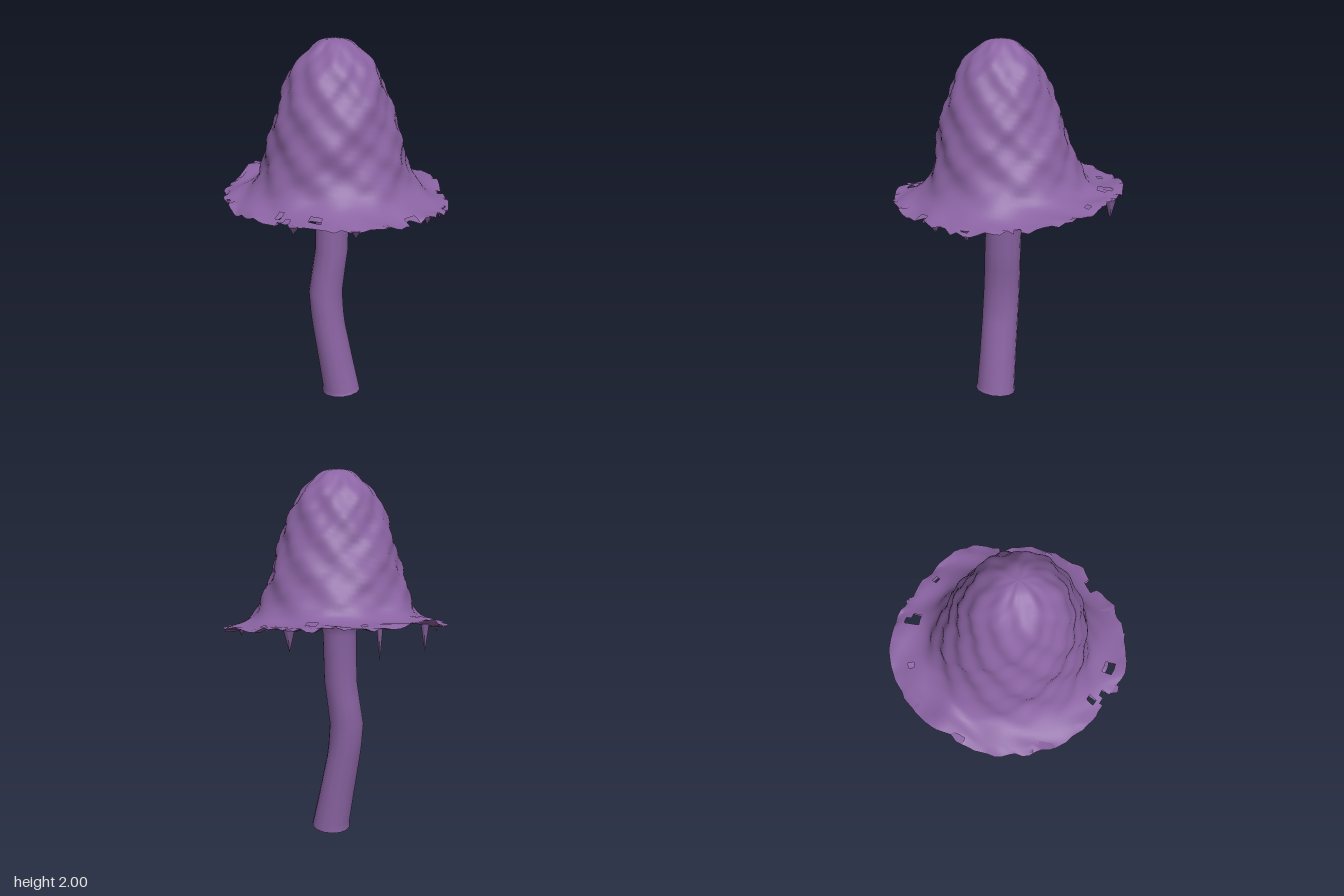
import * as THREE from 'three';

const purple = new THREE.MeshStandardMaterial({ color: 0x8a63a2, side: THREE.DoubleSide });
purple.name = 'purple';
const black = new THREE.MeshStandardMaterial({ color: 0x020202, side: THREE.DoubleSide });
black.name = 'black';

const TAU = Math.PI * 2;
const SEG = 108;

// Rim radius every 15 degrees and rim height every 45, going from +x towards +z
const RIM_R = [0.6, 0.61, 0.6, 0.58, 0.6, 0.6, 0.61, 0.58, 0.58, 0.59, 0.59, 0.59,
  0.6, 0.58, 0.61, 0.61, 0.63, 0.63, 0.62, 0.59, 0.6, 0.62, 0.61, 0.58];
const RIM_Y = [1.145, 1.145, 1.17, 1.16, 1.185, 1.225, 1.225, 1.19];
// Torn holes: x, z, radius
const HOLES = [[0.02, -0.52, 0.035], [0.29, -0.45, 0.022], [-0.22, -0.49, 0.014],
  [-0.22, 0.46, 0.02], [-0.18, 0.53, 0.03], [-0.04, 0.53, 0.03], [-0.56, -0.17, 0.025],
  [0.42, 0.36, 0.025], [0.46, 0.37, 0.025], [0.56, -0.15, 0.02]];

const hash = n => { const s = Math.sin(n * 127.1 + 11.7) * 43758.5453; return s - Math.floor(s); };

// Smooth lookup in a closed list of values
function around(list, a) {
  const t = (a / TAU) * list.length, i = Math.floor(t), f = t - i, n = list.length;
  const s = f * f * (3 - 2 * f);
  return list[i % n] * (1 - s) + list[(i + 1) % n] * s;
}

// Surface of closed rings; at(i, j) gives the point of ring i at step j
function ringSurface(name, rows, cols, at, material, skip = () => false) {
  const pos = [], index = [];
  for (let i = 0; i < rows; i++)
    for (let j = 0; j < cols; j++) pos.push(...at(i, j));
  for (let i = 0; i < rows - 1; i++)
    for (let j = 0; j < cols; j++) {
      const k = (j + 1) % cols;
      const a = i * cols + j, b = i * cols + k, c = a + cols, d = b + cols;
      const x = (pos[a * 3] + pos[d * 3]) / 2, z = (pos[a * 3 + 2] + pos[d * 3 + 2]) / 2;
      if (!skip(x, z)) index.push(a, b, c, b, d, c);
    }
  const g = new THREE.BufferGeometry();
  g.setAttribute('position', new THREE.Float32BufferAttribute(pos, 3));
  g.setIndex(index);
  g.computeVertexNormals();
  const mesh = new THREE.Mesh(g, material);
  mesh.name = name;
  return mesh;
}

const inHole = (x, z) => HOLES.some(h => Math.hypot(x - h[0], z - h[1]) < h[2]);

// Bell profile: radius, height
const profile = new THREE.SplineCurve([[0, 2], [0.07, 1.99], [0.13, 1.945], [0.21, 1.86], [0.28, 1.7],
  [0.343, 1.5], [0.385, 1.35], [0.43, 1.255], [0.5, 1.2], [0.6, 1.17]].map(p => new THREE.Vector2(...p)));
const ROWS = 44;
const rings = profile.getSpacedPoints(ROWS - 1);

// Point on the lumpy outer skin of the cap
function capPoint(i, j) {
  const a = (j / SEG) * TAU, p = rings[i];
  const brim = THREE.MathUtils.smoothstep(p.x, 0.38, 0.6);
  const lump = Math.min(1, p.x / 0.25) * (1 - brim);
  const bump = 0.007 * Math.sin(5 * a + p.y * 17) + 0.006 * Math.sin(9 * a - p.y * 29)
    + 0.004 * Math.sin(13 * a + p.y * 47);
  const edge = i === ROWS - 1 ? 1 : 0;
  const tear = edge * (hash(Math.floor(j / 2)) - 0.5) * 0.022;
  const r = p.x * (1 + (around(RIM_R, a) / 0.6 - 1) * brim) + bump * lump + tear;
  const curl = 0.04 * Math.exp(-(((a - 3.62) / 0.16) ** 2));
  const y = p.y + (around(RIM_Y, a) - 1.17 + curl) * brim
    + 0.007 * Math.sin(11 * a + p.x * 25) * brim + edge * (hash(j + 300) - 0.6) * 0.025
    + 0.004 * Math.sin(7 * a + p.y * 31) * lump;
  const shift = 0.035 * THREE.MathUtils.smoothstep(p.y, 1.2, 1.7);
  return [r * Math.cos(a), y, r * Math.sin(a) + shift];
}

// Underside: starts at the rim and runs in to the stalk
function undersidePoint(i, j) {
  const t = i / 11;
  const p = capPoint(ROWS - 1, j);
  const k = 1 - t * 0.84;
  const y = THREE.MathUtils.lerp(p[1], 1.225, THREE.MathUtils.smoothstep(t, 0, 0.5));
  return [p[0] * k, y - 0.012 * Math.sin(Math.PI * Math.min(1, t * 2)), p[2] * k];
}

// Stalk sections: height, centre x, centre z, radius x, radius z
const SECTIONS = [[1.235, -0.015, 0.012, 0.16, 0.16], [1.2, -0.015, 0.013, 0.105, 0.112],
  [1.12, -0.016, 0.015, 0.092, 0.1], [0.86, -0.02, 0.028, 0.091, 0.1], [0.74, -0.036, 0.033, 0.092, 0.101],
  [0.62, -0.052, 0.039, 0.094, 0.102], [0.5, -0.043, 0.044, 0.093, 0.103], [0.43, -0.034, 0.046, 0.093, 0.103],
  [0.22, 0.005, 0.053, 0.098, 0.105], [0.05, 0.037, 0.059, 0.104, 0.108], [0.018, 0.04, 0.062, 0.107, 0.113]];
const SIDES = 14;
function stalkPoint(i, j) {
  const [y, x, z, rx, rz] = SECTIONS[i], a = (j / SIDES) * TAU;
  const cut = i === SECTIONS.length - 1 ? 0.008 * Math.cos(a) + 0.011 * Math.sin(a) : 0;
  return [x + rx * Math.cos(a), y + cut, z + rz * Math.sin(a)];
}

export function createModel() {
  const model = new THREE.Group();
  model.name = 'mushroom';

  const cap = new THREE.Group();
  cap.name = 'cap';
  cap.add(ringSurface('capSkin', ROWS, SEG, capPoint, purple, inHole));
  cap.add(ringSurface('capUnderside', 12, SEG, undersidePoint, purple, inHole));

  // Ragged drips below the rim: x, z, top, bottom, radius
  const drips = [[-0.5, -0.28, 1.22, 1.075, 0.022], [-0.3, -0.5, 1.22, 1.055, 0.016],
    [0.13, -0.56, 1.21, 1.1, 0.03], [0.56, 0.1, 1.15, 1.085, 0.03], [0.17, 0.56, 1.16, 1.115, 0.03],
    [-0.13, 0.57, 1.17, 1.125, 0.03], [0.5, 0.27, 1.15, 1.1, 0.025], [-0.53, 0.2, 1.18, 1.12, 0.025]];
  for (const [x, z, top, bottom, r] of drips) {
    const drip = new THREE.Mesh(new THREE.ConeGeometry(r, top - bottom, 5), purple);
    drip.name = 'drip';
    drip.rotation.x = Math.PI;
    drip.position.set(x, (top + bottom) / 2, z);
    cap.add(drip);
  }
  model.add(cap);

  // Bent stalk with a dark cut end
  const last = SECTIONS.length - 1;
  model.add(ringSurface('stalk', SECTIONS.length, SIDES, stalkPoint, purple));
  model.add(ringSurface('stalkCutEnd', 2, SIDES,
    (i, j) => (i === 0 ? stalkPoint(last, j) : [0.04, 0.018, 0.062]), black));
  return model;
}
